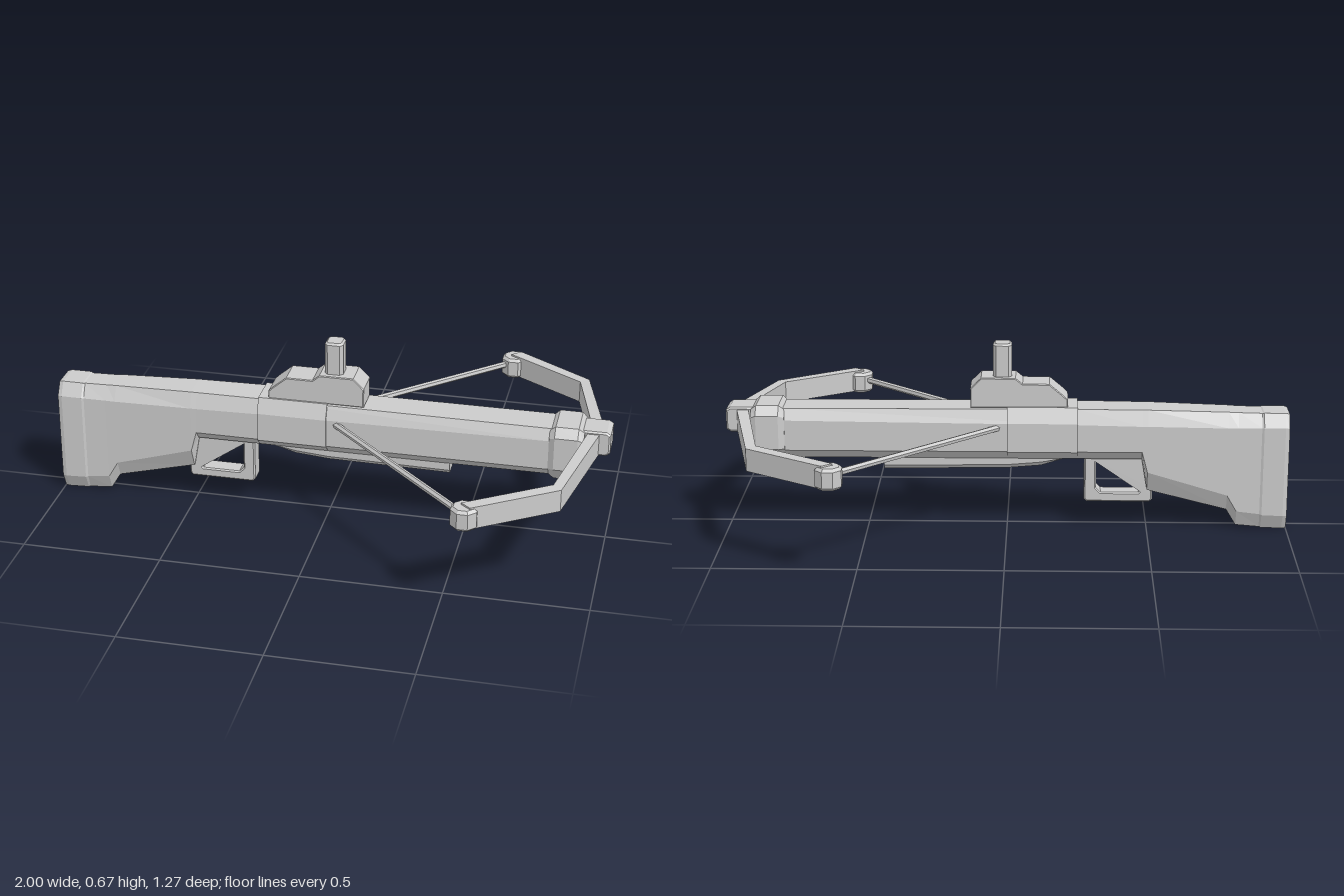
import * as THREE from 'three';

const mat = new THREE.MeshStandardMaterial({ color: 0xcccccc, flatShading: true });

function add(parent, name, geo, x = 0, y = 0, z = 0) {
  const m = new THREE.Mesh(geo, mat);
  m.name = name;
  m.position.set(x, y, z);
  parent.add(m);
  return m;
}

// Loft of eight-sided sections along x:
// [x, top, shoulder, chamfer, bottom, topHalf, sideHalf, bottomHalf]
function loft(sections) {
  const pos = [];
  const rings = sections.map(([x, T, S, C, B, t, w, b]) =>
    [[T, t], [S, w], [C, w], [B, b], [B, -b], [C, -w], [S, -w], [T, -t]].map(([y, z]) => [x, y, z]));
  const tri = (...p) => p.forEach((q) => pos.push(...q));
  for (let i = 0; i < rings.length - 1; i++) {
    for (let j = 0; j < 8; j++) {
      const k = (j + 1) % 8;
      const a = rings[i][j], b = rings[i][k], c = rings[i + 1][k], d = rings[i + 1][j];
      tri(a, b, c);
      tri(a, c, d);
    }
  }
  const first = rings[0], last = rings[rings.length - 1];
  for (let j = 1; j < 7; j++) {
    tri(last[0], last[j], last[j + 1]);
    tri(first[0], first[j + 1], first[j]);
  }
  const g = new THREE.BufferGeometry();
  g.setAttribute('position', new THREE.Float32BufferAttribute(pos, 3));
  g.computeVertexNormals();
  return g;
}

const poly = (pts) => new THREE.Shape(pts.map(([x, y]) => new THREE.Vector2(x, y)));

// Side profile extruded symmetrically across z, with a small bevel
function slab(shape, half, bevel = 0.008) {
  const g = new THREE.ExtrudeGeometry(shape, {
    depth: 2 * (half - bevel), bevelEnabled: bevel > 0, bevelSize: bevel,
    bevelOffset: -bevel, bevelThickness: bevel, bevelSegments: 1, curveSegments: 6,
  });
  return g.translate(0, 0, -(half - bevel));
}

function rod(parent, name, a, b, r) {
  const dir = b.clone().sub(a);
  const m = add(parent, name, new THREE.CylinderGeometry(r, r, dir.length(), 6));
  m.position.copy(a).add(b).multiplyScalar(0.5);
  m.quaternion.setFromUnitVectors(new THREE.Vector3(0, 1, 0), dir.normalize());
  return m;
}

export function createModel() {
  const root = new THREE.Group();
  root.name = 'crossbow';

  // Stock and barrel in one run
  add(root, 'stock', loft([
    [-0.905, 0.428, 0.38, 0.06, 0.005, 0.045, 0.074, 0.05],
    [-0.82, 0.430, 0.38, 0.07, 0.012, 0.045, 0.074, 0.05],
    [-0.785, 0.432, 0.38, 0.13, 0.07, 0.047, 0.075, 0.05],
    [-0.5, 0.440, 0.385, 0.215, 0.14, 0.055, 0.078, 0.045],
    [-0.48, 0.440, 0.385, 0.29, 0.255, 0.055, 0.078, 0.045],
    [-0.25, 0.442, 0.39, 0.29, 0.255, 0.058, 0.079, 0.045],
    [0.8, 0.440, 0.40, 0.29, 0.255, 0.06, 0.079, 0.045],
  ]));
  add(root, 'buttPlate', loft([
    [-1, 0.426, 0.38, 0.055, 0, 0.045, 0.073, 0.048],
    [-0.985, 0.430, 0.382, 0.055, 0, 0.05, 0.078, 0.052],
    [-0.91, 0.430, 0.382, 0.058, 0.003, 0.05, 0.078, 0.052],
    [-0.902, 0.426, 0.38, 0.06, 0.008, 0.045, 0.074, 0.05],
  ]));
  add(root, 'receiverSleeve', loft([
    [-0.25, 0.449, 0.395, 0.29, 0.256, 0.062, 0.086, 0.047],
    [0, 0.449, 0.395, 0.29, 0.256, 0.062, 0.086, 0.047],
  ]));
  add(root, 'muzzle', loft([
    [0.79, 0.435, 0.41, 0.295, 0.255, 0.06, 0.082, 0.045],
    [0.81, 0.452, 0.42, 0.298, 0.247, 0.068, 0.095, 0.058],
    [0.89, 0.452, 0.42, 0.298, 0.247, 0.068, 0.095, 0.058],
    [0.91, 0.435, 0.41, 0.305, 0.262, 0.06, 0.085, 0.05],
  ]));
  add(root, 'foregrip', loft([
    [-0.2, 0.262, 0.259, 0.254, 0.25, 0.04, 0.042, 0.03],
    [-0.12, 0.262, 0.255, 0.24, 0.225, 0.04, 0.042, 0.03],
    [0, 0.262, 0.255, 0.23, 0.215, 0.04, 0.042, 0.03],
    [0.44, 0.258, 0.253, 0.225, 0.21, 0.04, 0.042, 0.03],
  ]));

  // Trigger guard and trigger
  const guard = poly([[-0.52, 0.16], [-0.52, 0.1], [-0.51, 0.09], [-0.285, 0.09],
    [-0.275, 0.1], [-0.275, 0.27], [-0.5, 0.27], [-0.5, 0.16]]);
  guard.holes.push(new THREE.Path([[-0.485, 0.14], [-0.47, 0.125], [-0.335, 0.125],
    [-0.318, 0.142], [-0.318, 0.262], [-0.485, 0.262]].map((p) => new THREE.Vector2(...p))));
  add(root, 'triggerGuard', slab(guard, 0.034, 0.005));
  const trigger = poly([[-0.35, 0.27], [-0.385, 0.225], [-0.42, 0.205], [-0.428, 0.18],
    [-0.443, 0.195], [-0.435, 0.222], [-0.405, 0.24], [-0.4, 0.27]]);
  add(root, 'trigger', slab(trigger, 0.014, 0.003));

  // Sight base and post
  add(root, 'sightBase', slab(poly([[-0.215, 0.445], [0.13, 0.445], [0.13, 0.515], [0.092, 0.553],
    [-0.03, 0.553], [-0.055, 0.532], [-0.15, 0.532], [-0.2, 0.49], [-0.215, 0.475]]), 0.055, 0.003));
  const post = slab(poly([[-0.022, -0.035], [0.022, -0.035], [0.033, -0.023], [0.033, 0.023],
    [0.022, 0.035], [-0.022, 0.035], [-0.033, 0.023], [-0.033, -0.023]]), 0.07, 0.007);
  add(root, 'sightPost', post.rotateX(-Math.PI / 2), 0.017, 0.602, 0);

  // Bow limbs: plan outline extruded upward, then dropped toward the tips
  const outer = [[0.972, 0], [0.875, 0.43], [0.6, 0.615]];
  const inner = [[0.565, 0.585], [0.845, 0.40], [0.93, 0]];
  const flip = (pts) => pts.map(([x, z]) => [x, -z]).reverse();
  const outline = [...outer, ...inner, ...flip(inner).slice(1), ...flip(outer).slice(0, -1)];
  const limbs = new THREE.ExtrudeGeometry(poly(outline), { depth: 0.08, bevelEnabled: false });
  limbs.rotateX(-Math.PI / 2);
  const p = limbs.attributes.position;
  for (let i = 0; i < p.count; i++) {
    const drop = 0.028 * Math.min(1, Math.abs(p.getZ(i)) / 0.42);
    p.setY(i, p.getY(i) + 0.354 - drop);
  }
  add(root, 'bowLimbs', limbs);
  add(root, 'bowMount', slab(poly([[0.89, 0.35], [0.985, 0.35], [1, 0.36], [1, 0.43],
    [0.985, 0.44], [0.89, 0.44]]), 0.055, 0.006));

  // Limb tips and string, mirrored
  for (const s of [1, -1]) {
    const side = s > 0 ? 'right' : 'left';
    const tip = new THREE.LatheGeometry([[0, -0.038], [0.038, -0.038], [0.048, -0.028],
      [0.048, 0.028], [0.038, 0.038], [0, 0.038]].map((q) => new THREE.Vector2(...q)), 8);
    add(root, side + 'LimbTip', tip.rotateY(Math.PI / 8), 0.578, 0.362, s * 0.592);
    rod(root, side + 'String', new THREE.Vector3(-0.03, 0.376, s * 0.01),
      new THREE.Vector3(0.57, 0.37, s * 0.59), 0.012);
  }
  return root;
}
